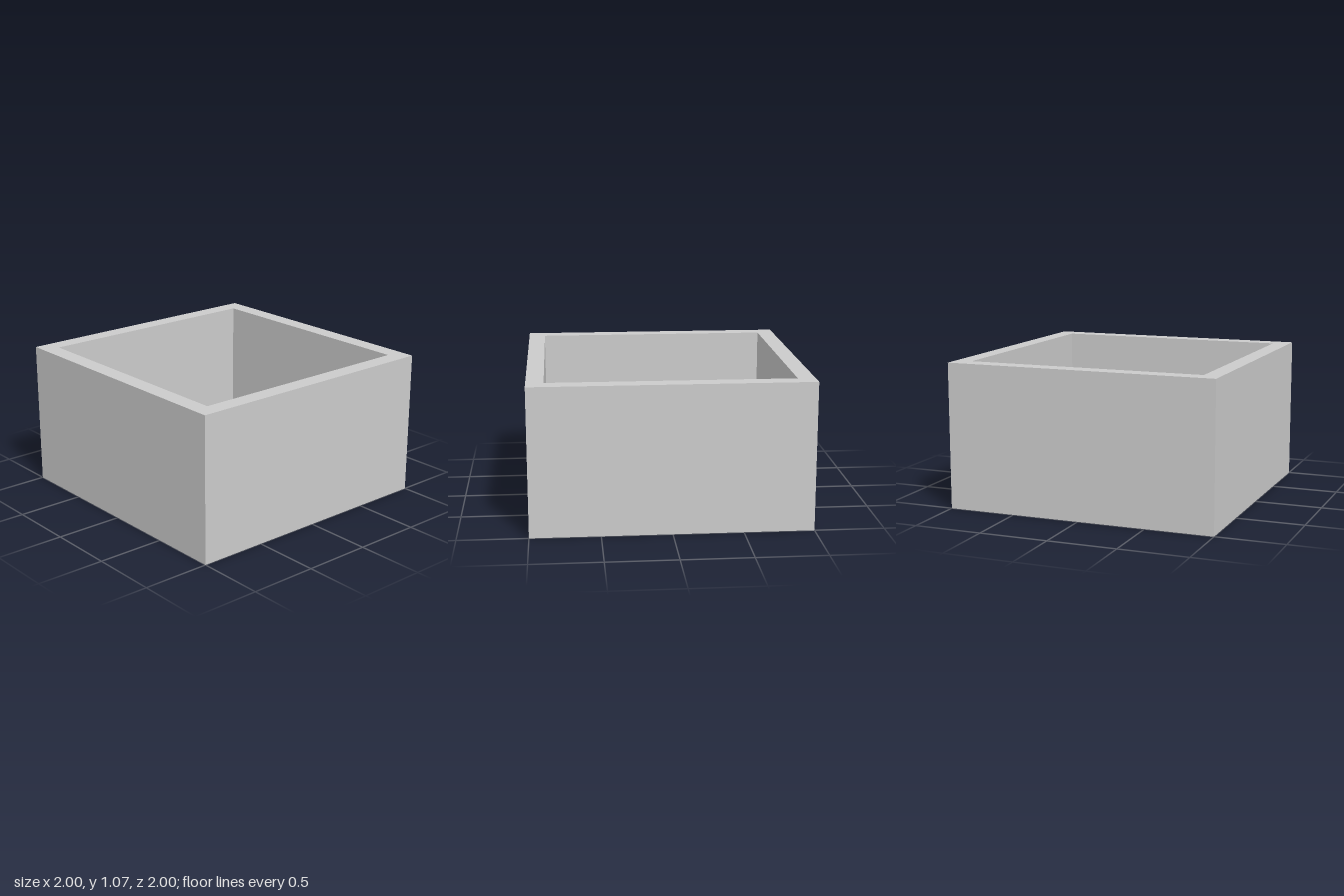
import * as THREE from 'three';

const OUTER = 1, INNER = 0.875, HEIGHT = 1.07, FLOOR = 0.07;

// Square outline of the given half width
function square(h, Type) {
  return new Type([[-h, -h], [h, -h], [h, h], [-h, h]].map(([x, y]) => new THREE.Vector2(x, y)));
}

// Upright extrusion of a shape between two heights
function slab(name, shape, y0, y1, material) {
  const geometry = new THREE.ExtrudeGeometry(shape, { depth: y1 - y0, bevelEnabled: false });
  geometry.rotateX(-Math.PI / 2).translate(0, y0, 0);
  const mesh = new THREE.Mesh(geometry, material);
  mesh.name = name;
  return mesh;
}

export function createModel() {
  const group = new THREE.Group();
  group.name = 'openBox';
  const material = new THREE.MeshStandardMaterial({ color: 0xcccccc, flatShading: true });

  // Four walls as one square ring
  const ring = square(OUTER, THREE.Shape);
  ring.holes.push(square(INNER, THREE.Path));
  group.add(slab('walls', ring, 0, HEIGHT, material));

  // Thin floor closing the bottom
  group.add(slab('floor', square(INNER, THREE.Shape), 0, FLOOR, material));
  return group;
}
